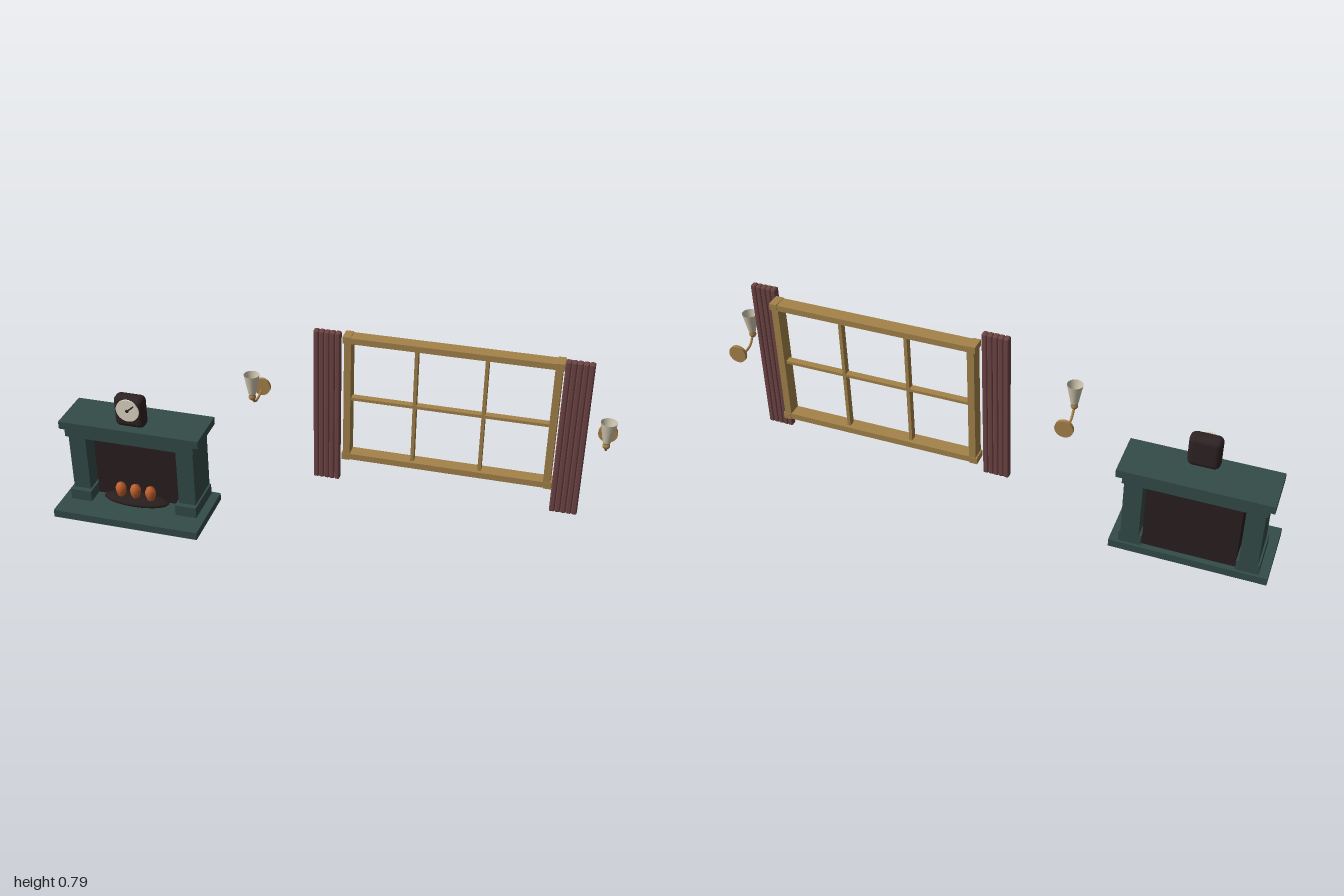
import * as THREE from 'three';
import { RoundedBoxGeometry } from 'three/addons/geometries/RoundedBoxGeometry.js';

const mat = (name, color, extra = {}) => {
  const m = new THREE.MeshStandardMaterial({ color, ...extra });
  m.name = name;
  return m;
};

export function createModel() {
  const root = new THREE.Group();
  const green = mat('mantel green', 0x344c48);
  const soot = mat('soot', 0x2a1f1f);
  const clockBrown = mat('dark clock wood', 0x2e2224);
  const ember = mat('ember orange', 0xc0602c);
  const cream = mat('cream dial', 0xe2dbc6);
  const glass = mat('frosted glass', 0xd2c9b2, { side: THREE.DoubleSide });
  const oak = mat('oak', 0xa5834a);
  const brass = mat('brass', 0xa8824a);
  const maroon = mat('shutter maroon', 0x6e4444);

  const group = (name, parent = root) => {
    const g = new THREE.Group();
    g.name = name;
    parent.add(g);
    return g;
  };
  const add = (parent, name, geo, m, x = 0, y = 0, z = 0) => {
    const mesh = new THREE.Mesh(geo, m);
    mesh.name = name;
    mesh.position.set(x, y, z);
    parent.add(mesh);
    return mesh;
  };
  // Box given by its limits on each axis
  const box = (parent, name, m, x0, x1, y0, y1, z0, z1) =>
    add(parent, name, new THREE.BoxGeometry(x1 - x0, y1 - y0, z1 - z0), m,
      (x0 + x1) / 2, (y0 + y1) / 2, (z0 + z1) / 2);

  // Fireplace, centred on its own x = 0
  const fire = group('fireplace');
  fire.position.x = -0.717;
  box(fire, 'hearth', green, -0.283, 0.283, 0, 0.03, -0.112, 0.158);
  box(fire, 'frieze', green, -0.25, 0.25, 0.302, 0.332, -0.11, 0.06);
  box(fire, 'mantelShelf', green, -0.271, 0.271, 0.332, 0.362, -0.12, 0.062);
  for (const s of [-1, 1]) {
    const side = s < 0 ? 'right' : 'left';
    const pillar = (name, a, b, y0, y1, z0, z1) =>
      box(fire, side + name, green, Math.min(s * a, s * b), Math.max(s * a, s * b), y0, y1, z0, z1);
    pillar('Plinth', 0.168, 0.25, 0.03, 0.073, -0.102, 0.068);
    pillar('Pillar', 0.177, 0.243, 0.073, 0.302, -0.104, 0.048);
  }
  box(fire, 'firebox', soot, -0.167, 0.167, 0.03, 0.304, -0.09, 0.0);

  // Ash bed and glowing embers
  add(fire, 'ashBed', new THREE.SphereGeometry(1, 20, 10), soot, 0, 0.045, 0.03).scale.set(0.13, 0.018, 0.045);
  const emberProfile = [[0, -0.036], [0.012, -0.026], [0.019, -0.004], [0.021, 0.012], [0.015, 0.028], [0, 0.036]]
    .map(([r, y]) => new THREE.Vector2(r, y));
  [-0.058, 0, 0.06].forEach((x, i) => {
    add(fire, 'ember', new THREE.LatheGeometry(emberProfile, 10), ember, x, 0.08, 0.035).rotation.y = i;
  });

  // Mantel clock
  const clock = group('clock', fire);
  clock.position.set(0, 0.425, 0.011);
  add(clock, 'clockCase', new RoundedBoxGeometry(0.115, 0.125, 0.056, 5, 0.022), clockBrown);
  add(clock, 'dial', new THREE.CylinderGeometry(0.044, 0.044, 0.006, 32), cream, 0, 0.013, 0.029).rotation.x = Math.PI / 2;
  add(clock, 'hub', new THREE.CylinderGeometry(0.006, 0.006, 0.006, 12), clockBrown, 0, 0.013, 0.033).rotation.x = Math.PI / 2;
  const hand = add(clock, 'hand', new THREE.BoxGeometry(0.034, 0.005, 0.003), clockBrown, 0.012, 0.023, 0.0335);
  hand.rotation.z = 0.72;

  // Window: deep outer frame, corner blocks and glazing bars
  const win = group('window');
  win.position.x = 0.42;
  box(win, 'topRail', oak, -0.375, 0.375, 0.742, 0.764, -0.155, -0.105);
  box(win, 'bottomRail', oak, -0.375, 0.375, 0.274, 0.297, -0.155, -0.105);
  for (const s of [-1, 1]) {
    add(win, 'frameSide', new THREE.BoxGeometry(0.025, 0.47, 0.05), oak, s * 0.36, 0.519, -0.13);
    for (const y of [0.284, 0.754])
      add(win, 'cornerBlock', new THREE.BoxGeometry(0.028, 0.025, 0.053), oak, s * 0.364, y, -0.1305);
    add(win, 'verticalBar', new THREE.BoxGeometry(0.012, 0.45, 0.025), oak, s * 0.121, 0.519, -0.13);
  }
  add(win, 'horizontalBar', new THREE.BoxGeometry(0.71, 0.011, 0.025), oak, 0, 0.519, -0.13);

  // Shutters made of rounded upright slats
  for (const s of [-1, 1]) {
    const shutter = group(s < 0 ? 'rightShutter' : 'leftShutter');
    shutter.position.set(0.42 + s * 0.428, 0.4925, -0.0935);
    for (let i = -2; i <= 2; i++)
      add(shutter, 'slat', new RoundedBoxGeometry(0.0198, 0.595, 0.026, 2, 0.006), maroon, i * 0.0192);
  }

  // Wall sconces
  for (const x of [-0.266, 0.964]) {
    const sconce = group('sconce');
    sconce.position.x = x;
    add(sconce, 'backplate', new THREE.CylinderGeometry(0.033, 0.033, 0.012, 28), brass, 0, 0.507, -0.142).rotation.x = Math.PI / 2;
    const path = new THREE.CatmullRomCurve3([[0.492, -0.14], [0.485, -0.1], [0.491, -0.06], [0.52, -0.034]]
      .map(([y, z]) => new THREE.Vector3(0, y, z)));
    add(sconce, 'arm', new THREE.TubeGeometry(path, 20, 0.0045, 8), brass);
    add(sconce, 'cup', new THREE.SphereGeometry(0.013, 16, 12), brass, 0, 0.524, -0.033);
    add(sconce, 'collar', new THREE.CylinderGeometry(0.0135, 0.011, 0.006, 16), brass, 0, 0.535, -0.033);
    add(sconce, 'shade', new THREE.CylinderGeometry(0.028, 0.0135, 0.076, 20, 1, true), glass, 0, 0.575, -0.033);
  }
  return root;
}
